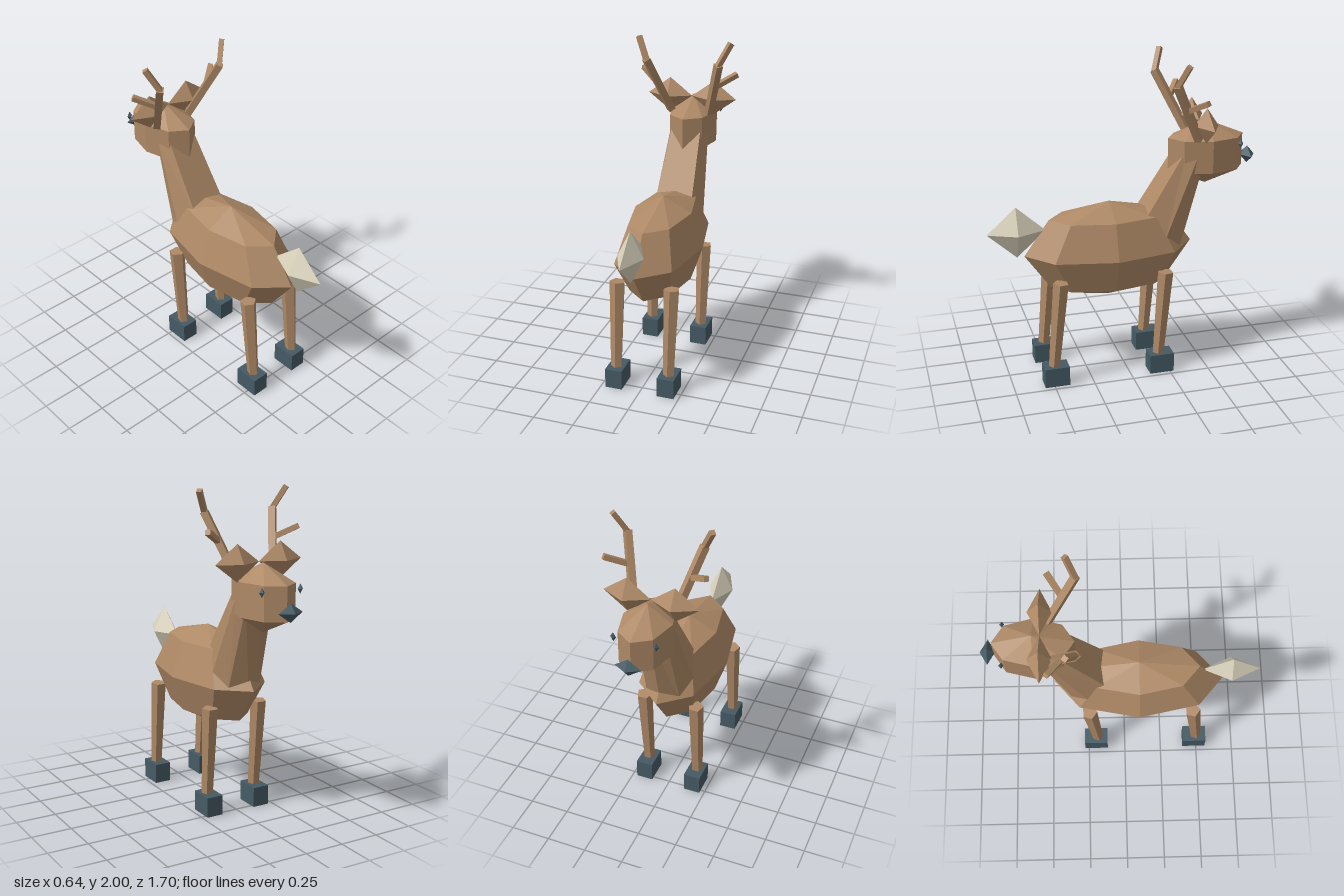
import * as THREE from 'three';

export function createModel() {
  const model = new THREE.Group();
  model.name = 'deer';

  const material = (name, color) => {
    const m = new THREE.MeshStandardMaterial({ color, flatShading: true });
    m.name = name;
    return m;
  };
  const brown = material('brown fur', 0xae8966);
  const slate = material('slate hoof', 0x455a64);
  const cream = material('cream tail', 0xd9d2bc);

  const add = (name, geometry, mat) => {
    const mesh = new THREE.Mesh(geometry, mat);
    mesh.name = name;
    model.add(mesh);
    return mesh;
  };
  // A unit shape stretched to the given half sizes
  const blob = (name, geometry, mat, position, scale) => {
    const mesh = add(name, geometry, mat);
    mesh.position.set(...position);
    mesh.scale.set(...scale);
  };
  // A tapered rod from point a to point b
  const up = new THREE.Vector3(0, 1, 0);
  const rod = (name, a, b, rA, rB, sides) => {
    const start = new THREE.Vector3(...a), end = new THREE.Vector3(...b);
    const dir = end.clone().sub(start);
    const mesh = add(name, new THREE.CylinderGeometry(rB, rA, dir.length(), sides), brown);
    mesh.position.copy(start).add(end).multiplyScalar(0.5);
    mesh.quaternion.setFromUnitVectors(up, dir.normalize());
  };
  const gem = () => new THREE.OctahedronGeometry(1);

  // Body, head, tail and nose
  blob('body', new THREE.SphereGeometry(1, 8, 4), brown, [0, 0.808, 0.093], [0.255, 0.312, 0.535]);
  blob('head', new THREE.SphereGeometry(1, 8, 3), brown, [0, 1.388, -0.528], [0.173, 0.203, 0.28]);
  blob('tail', gem(), cream, [0, 0.968, 0.672], [0.08, 0.163, 0.18]);
  blob('nose', gem(), slate, [0, 1.347, -0.805], [0.08, 0.055, 0.046]);

  // Neck: two seven-sided rings; each row is half width, y, z, ending at the throat
  const ring = (rows) => [...rows, ...rows.slice(0, -1).reverse().map(([x, y, z]) => [-x, y, z])];
  const low = ring([[0.12, 0.95, -0.07], [0.162, 0.87, -0.22], [0.11, 0.8, -0.33], [0, 0.8, -0.383]]);
  const high = ring([[0.094, 1.44, -0.378], [0.124, 1.4, -0.442], [0.09, 1.34, -0.49], [0, 1.34, -0.517]]);
  const index = [];
  for (let i = 0; i < 7; i++) {
    const j = (i + 1) % 7;
    index.push(i, j, i + 7, j, j + 7, i + 7);
  }
  const neck = new THREE.BufferGeometry();
  neck.setAttribute('position', new THREE.Float32BufferAttribute([...low, ...high].flat(), 3));
  neck.setIndex(index);
  neck.computeVertexNormals();
  add('neck', neck, brown);

  for (const s of [-1, 1]) {
    // Legs and hooves
    for (const [name, topZ, footZ, hoofZ] of [['front', -0.227, -0.185, -0.198], ['rear', 0.438, 0.492, 0.482]]) {
      rod(name + 'Leg', [s * 0.169, 0.11, footZ], [s * 0.172, 0.68, topZ], 0.036, 0.05, 5);
      const hoof = add(name + 'Hoof', new THREE.BoxGeometry(0.107, 0.125, 0.156), slate);
      hoof.position.set(s * 0.167, 0.0625, hoofZ);
    }
    // Ears and eyes
    blob('ear', gem(), brown, [s * 0.145, 1.59, -0.482], [0.145, 0.11, 0.073]);
    blob('eye', gem(), slate, [s * 0.128, 1.457, -0.711], [0.018, 0.03, 0.016]);
    // Antlers
    rod('antlerBeam', [s * 0.125, 1.5, -0.44], [s * 0.232, 1.865, -0.264], 0.03, 0.03, 4);
    rod('antlerTip', [s * 0.228, 1.855, -0.264], [s * 0.295, 1.992, -0.316], 0.022, 0.022, 4);
    rod('antlerBranch', [s * 0.185, 1.7, -0.345], [s * 0.307, 1.77, -0.432], 0.022, 0.022, 4);
  }
  return model;
}
